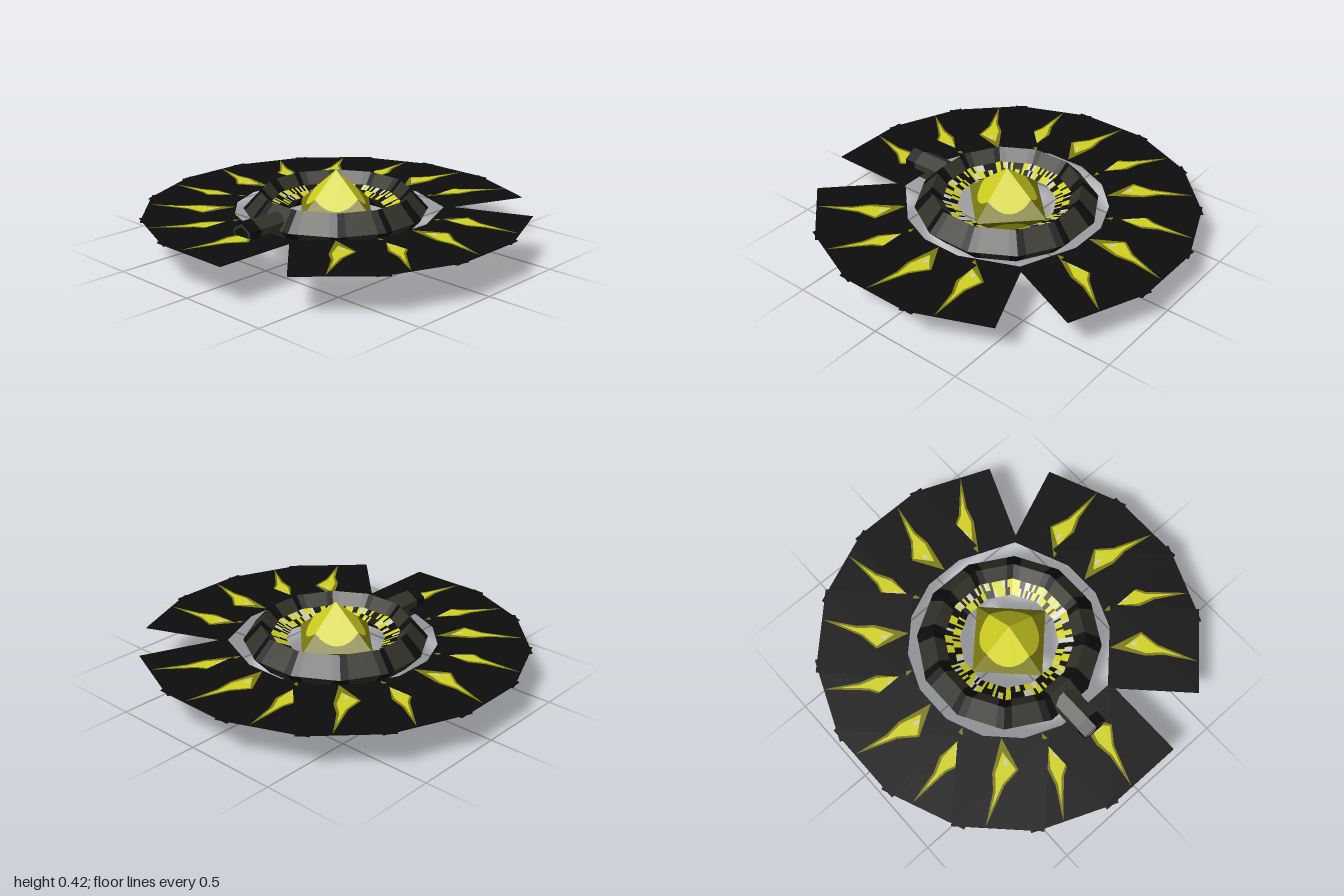
import * as THREE from 'three';

const mat = (name, color) => {
  const m = new THREE.MeshStandardMaterial({ color });
  m.name = name;
  return m;
};

export function createModel() {
  const model = new THREE.Group();
  const black = mat('black', 0x0d0d0d);
  const grey = mat('dark grey', 0x33322a);
  const yellow = mat('yellow', 0xd2d222);
  const olive = mat('olive', 0x7c7a12);
  const pale = mat('pale grey', 0xcfcfc0);
  const midY = 0.215;

  const add = (name, geo, material, parent = model) => {
    const mesh = new THREE.Mesh(geo, material);
    mesh.name = name;
    parent.add(mesh);
    return mesh;
  };

  // Faceted surface collected from triangles and quads
  class Facets {
    constructor() { this.p = []; }
    tri(a, b, c) { this.p.push(...a, ...b, ...c); }
    quad(a, b, c, d) { this.tri(a, b, c); this.tri(a, c, d); }
    build() {
      const g = new THREE.BufferGeometry();
      g.setAttribute('position', new THREE.Float32BufferAttribute(this.p, 3));
      g.computeVertexNormals();
      return g;
    }
  }

  let seed = 7;
  const rand = () => (seed = (seed * 16807) % 2147483647) / 2147483647;

  // Twelve-sided ring: grey panels, black joints, streaked inner faces
  const panels = new Facets(), joints = new Facets();
  const streakYellow = new Facets(), streakBlack = new Facets(), streakPale = new Facets();
  const profile = [
    [0.465, midY], [0.38, 0.31], [0.325, 0.25], [0.25, midY],
    [0.325, 0.18], [0.38, 0.12], [0.465, midY],
  ];
  const tan15 = Math.tan(Math.PI / 12);
  for (let k = 0; k < 12; k++) {
    const a = k * Math.PI / 6, s = Math.sin(a), c = Math.cos(a);
    const at = ([r, y], u) => [r * (s + c * u * tan15), y, r * (c - s * u * tan15)];
    const patch = (f, p, q, u0, u1) => f.quad(at(p, u0), at(p, u1), at(q, u1), at(q, u0));
    for (let i = 0; i < 6; i++) {
      const p = profile[i], q = profile[i + 1];
      if (i === 2 || i === 3) {
        const mid = [(p[0] + q[0]) / 2, (p[1] + q[1]) / 2];
        for (let j = 0; j < 12; j++) {
          for (const [m, n] of [[p, mid], [mid, q]]) {
            const v = rand();
            const f = v < 0.48 ? streakYellow : v < 0.86 ? streakBlack : streakPale;
            patch(f, m, n, -1 + j / 6, -1 + (j + 1) / 6);
          }
        }
      } else {
        patch(joints, p, q, -1, -0.65);
        patch(panels, p, q, -0.65, 0.65);
        patch(joints, p, q, 0.65, 1);
      }
    }
  }
  const ring = new THREE.Group();
  ring.name = 'ring';
  model.add(ring);
  add('ringPanels', panels.build(), grey, ring);
  add('ringJoints', joints.build(), black, ring);
  add('innerStreaksYellow', streakYellow.build(), yellow, ring);
  add('innerStreaksBlack', streakBlack.build(), black, ring);
  add('innerStreaksPale', streakPale.build(), pale, ring);

  // Central crystal: octahedron with bright tips and an olive waist
  const tips = new Facets(), waist = new Facets();
  const half = 0.255, tall = 0.21;
  for (const side of [1, -1]) {
    const point = (r, a) => {
      const x = r * Math.sin(a), z = r * Math.cos(a);
      return [x, tall + side * tall * (1 - (Math.abs(x) + Math.abs(z)) / half), z];
    };
    const edge = (a) => point(half / (Math.abs(Math.sin(a)) + Math.abs(Math.cos(a))), a);
    for (let i = 0; i < 32; i++) {
      let a = i * Math.PI / 16, b = (i + 1) * Math.PI / 16;
      if (side < 0) [a, b] = [b, a];
      tips.tri([0, tall + side * tall, 0], point(0.155, a), point(0.155, b));
      waist.quad(point(0.155, a), edge(a), edge(b), point(0.155, b));
    }
  }
  add('crystalTips', tips.build(), yellow);
  add('crystalWaist', waist.build(), olive);

  // Fan of square plates with claw marks; two places are left empty
  const flat = (points, thick) => {
    const shape = new THREE.Shape(points.map(([x, r]) => new THREE.Vector2(x, r)));
    const g = new THREE.ExtrudeGeometry(shape, { depth: thick, bevelEnabled: false });
    return g.translate(0, 0, -thick / 2).rotateX(-Math.PI / 2);
  };
  const claw = [[0.06, 0.98], [-0.02, 0.77], [-0.085, 0.685], [0.01, 0.525], [0.045, 0.71], [0.035, 0.8]];
  const clawCore = [[0.04, 0.9], [-0.01, 0.765], [-0.072, 0.685], [0, 0.6], [0.03, 0.71], [0.022, 0.8]];
  const spot = [[-0.03, 0.665], [-0.01, 0.665], [-0.01, 0.635], [-0.025, 0.635]];
  for (let k = 0; k < 16; k++) {
    if (k === 2 || k === 7) continue;
    // Every second plate is thicker so that it covers its neighbours
    const t = k % 2 ? 0.003 : 0.006;
    const plate = new THREE.Group();
    plate.name = 'fanPlate';
    plate.position.y = midY;
    plate.rotation.y = -k * Math.PI / 8;
    model.add(plate);
    add('plate', new THREE.BoxGeometry(0.46, t, 0.465).translate(0, 0, -0.7525), black, plate);
    add('clawEdge', flat(claw, t + 0.0008), olive, plate);
    add('clawCore', flat(clawCore, t + 0.0016), yellow, plate);
    add('clawSpot', flat(spot, t + 0.0024), pale, plate);
  }

  // Hexagonal peg at the front
  const hex = (name, r, z0, z1, material) =>
    add(name, new THREE.CylinderGeometry(r, r, z1 - z0, 6).toNonIndexed()
      .rotateX(Math.PI / 2).translate(0, midY, (z0 + z1) / 2), material)
      .geometry.computeVertexNormals();
  hex('pegBody', 0.077, 0.41, 0.59, grey);
  hex('pegCap', 0.08, 0.59, 0.65, black);
  hex('pegFaceRim', 0.066, 0.65, 0.653, grey);
  hex('pegFaceCentre', 0.052, 0.653, 0.656, black);

  return model;
}
